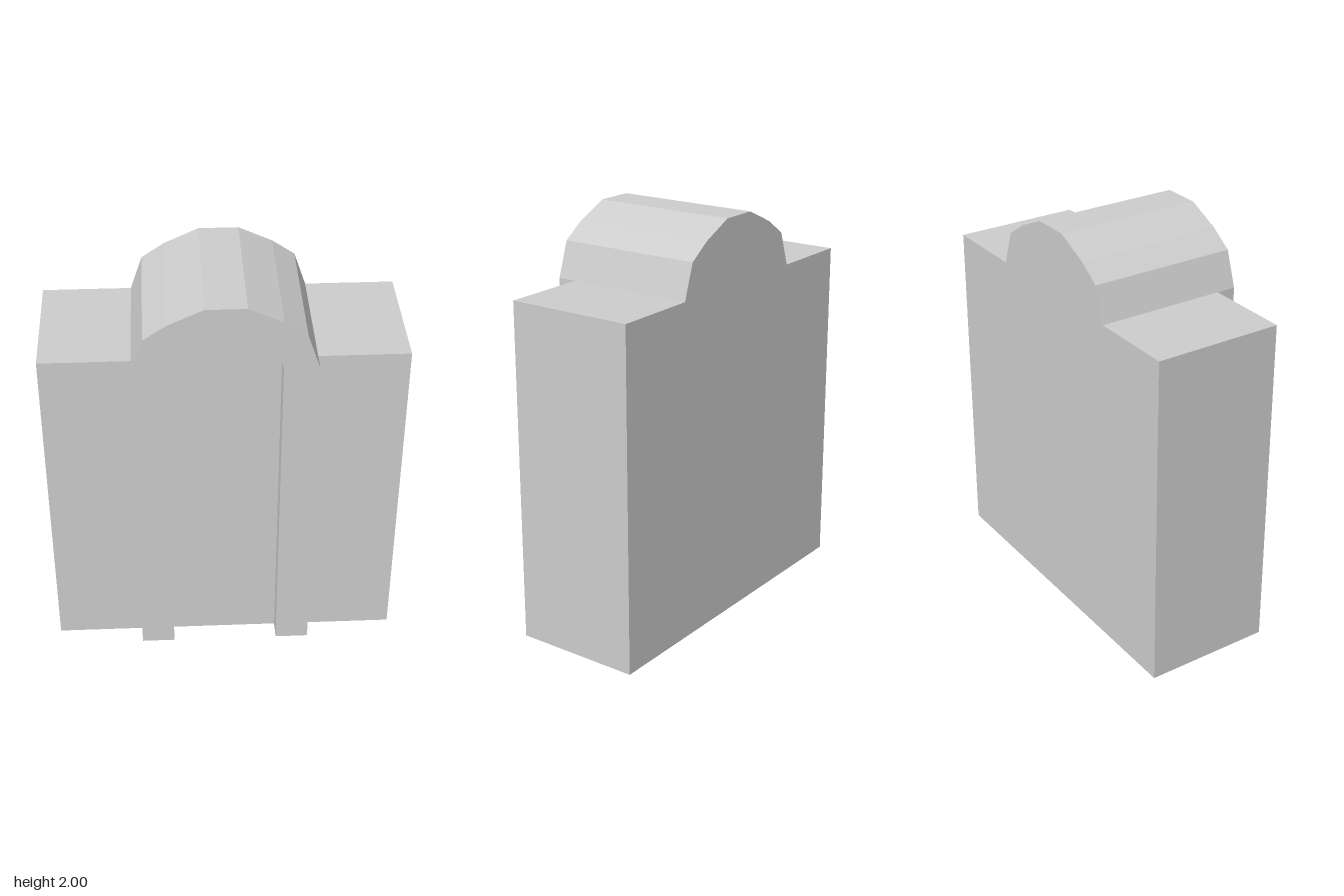
import * as THREE from 'three';

const BACK = -0.365, WALL = 0.27, FRONT = 0.365;
const SPRING = 1.68, HALF = 0.853;

// Arch outlines, running from left to right over the top
const outerArch = [[-0.427, SPRING], [-0.37, 1.85], [-0.26, 1.925], [-0.095, 2],
  [0.095, 2], [0.257, 1.925], [0.366, 1.85], [0.424, SPRING]];
const innerArch = [[-0.264, SPRING], [-0.227, 1.85], [-0.13, 1.928],
  [0.125, 1.928], [0.222, 1.85], [0.26, SPRING]];

const withLegs = (arch) => [[arch[0][0], 0], ...arch, [arch[arch.length - 1][0], 0]];

// Flat face parallel to the front
function face(points, z, backwards = false) {
  const s = backwards ? -1 : 1;
  const shape = new THREE.Shape(points.map(([x, y]) => new THREE.Vector2(s * x, y)));
  const geo = new THREE.ShapeGeometry(shape);
  if (backwards) geo.rotateY(Math.PI);
  return geo.translate(0, 0, z);
}

// Faceted strip that sweeps a path from z0 to z1
function strip(path, z0, z1) {
  const pos = [];
  for (let i = 0; i < path.length - 1; i++) {
    const [ax, ay] = path[i], [bx, by] = path[i + 1];
    pos.push(ax, ay, z1, bx, by, z1, bx, by, z0);
    pos.push(ax, ay, z1, bx, by, z0, ax, ay, z0);
  }
  const geo = new THREE.BufferGeometry();
  geo.setAttribute('position', new THREE.Float32BufferAttribute(pos, 3));
  geo.computeVertexNormals();
  return geo;
}

export function createModel() {
  const model = new THREE.Group();
  model.name = 'archedBlock';
  const grey = new THREE.MeshStandardMaterial({ color: 0xcccccc, side: THREE.DoubleSide });
  grey.name = 'grey';
  const add = (name, geo) => {
    const mesh = new THREE.Mesh(geo, grey);
    mesh.name = name;
    model.add(mesh);
  };

  const outer = withLegs(outerArch), inner = withLegs(innerArch);
  const left = outerArch[0][0], right = outerArch[outerArch.length - 1][0];

  // Hollow shell, open underneath
  add('backWall', face([[-HALF, 0], [-HALF, SPRING], ...outerArch, [HALF, SPRING], [HALF, 0]], BACK, true));
  add('rightWing', strip([[-HALF, 0], [-HALF, SPRING], [left, SPRING]], BACK, WALL));
  add('leftWing', strip([[right, SPRING], [HALF, SPRING], [HALF, 0]], BACK, WALL));
  add('rightWingFront', face([[-HALF, 0], [left, 0], [left, SPRING], [-HALF, SPRING]], WALL));
  add('leftWingFront', face([[right, 0], [HALF, 0], [HALF, SPRING], [right, SPRING]], WALL));

  // Faceted vault over the middle
  add('vaultRoof', strip(outerArch, BACK, FRONT));

  // Raised arch frame with its recessed panel
  add('frameFront', face([...outer, ...[...inner].reverse()], FRONT));
  add('frameRightSide', strip(outer.slice(0, 2), WALL, FRONT));
  add('frameLeftSide', strip(outer.slice(-2), WALL, FRONT));
  add('frameReveal', strip([...inner].reverse(), WALL, FRONT));
  add('recessedPanel', face(inner, WALL));

  return model;
}
